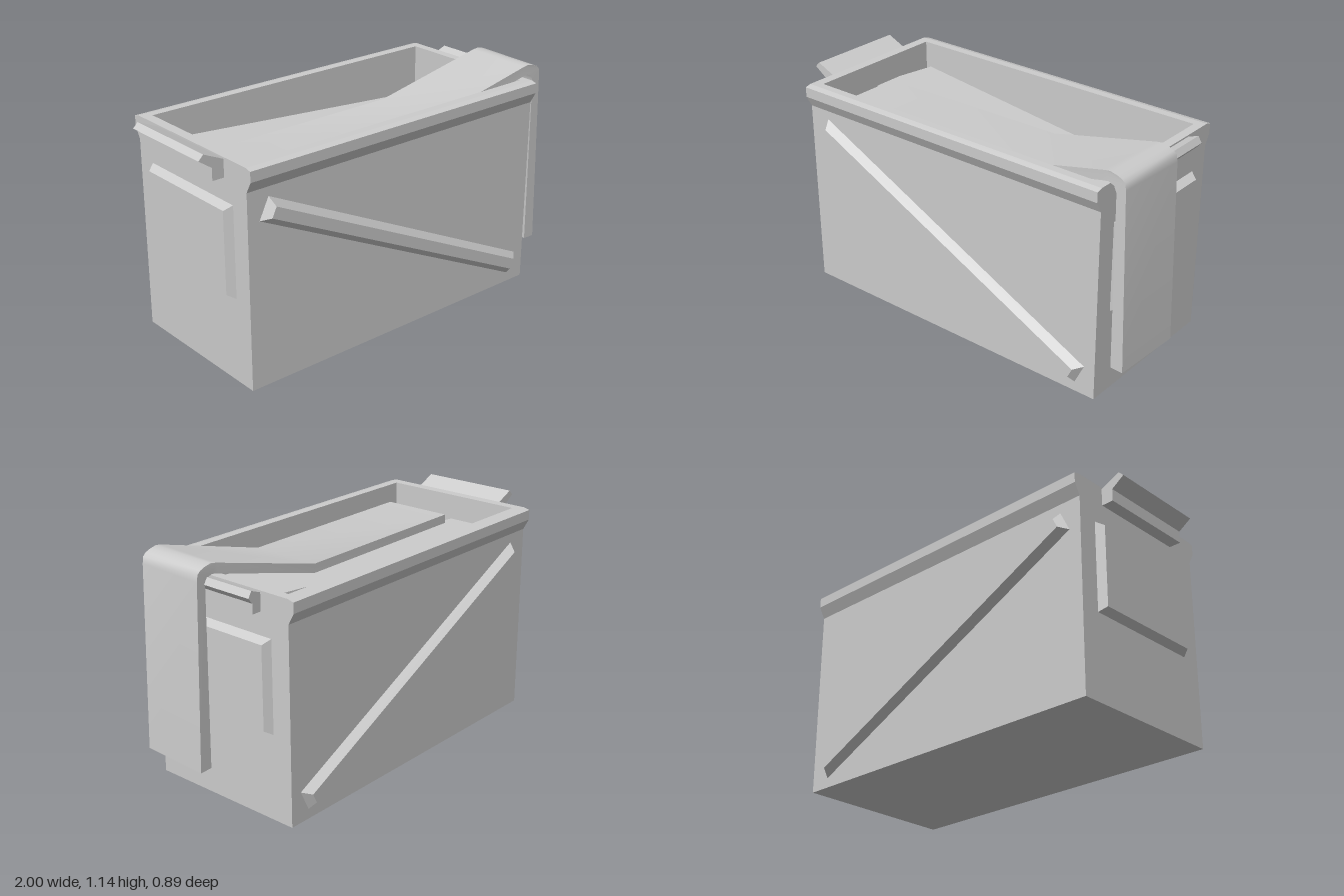
import * as THREE from 'three';
import { toCreasedNormals } from 'three/addons/utils/BufferGeometryUtils.js';

const flat = new THREE.MeshStandardMaterial({ color: 0xcccccc, flatShading: true });
const smooth = new THREE.MeshStandardMaterial({ color: 0xcccccc });

const X0 = -0.875, X1 = 0.86, HALF_Z = 0.41, TOP = 1.068;

function part(name, geometry, material = flat) {
  const mesh = new THREE.Mesh(geometry, material);
  mesh.name = name;
  return mesh;
}

// Box given by its minimum and maximum corners
function block(name, a, b) {
  const g = new THREE.BoxGeometry(b[0] - a[0], b[1] - a[1], b[2] - a[2]);
  g.translate((a[0] + b[0]) / 2, (a[1] + b[1]) / 2, (a[2] + b[2]) / 2);
  return part(name, g);
}

function extrude(points, depth) {
  const shape = new THREE.Shape(points.map(p => new THREE.Vector2(...p)));
  return new THREE.ExtrudeGeometry(shape, { depth, bevelEnabled: false });
}

// Raised panel: base on z = 0, outer face drawn in by inset
function raisedPanel(name, w, h, d, inset) {
  const g = new THREE.BoxGeometry(w, h, d).translate(0, 0, d / 2);
  const p = g.attributes.position;
  for (let i = 0; i < p.count; i++) {
    if (p.getZ(i) < d / 2) continue;
    p.setX(i, p.getX(i) - Math.sign(p.getX(i)) * inset);
    p.setY(i, p.getY(i) - Math.sign(p.getY(i)) * inset);
  }
  g.computeVertexNormals();
  return part(name, g);
}

function createBox() {
  const box = new THREE.Group();
  box.name = 'box';
  // Long walls with the flared rim in their section
  const wall = [[0.37, 0], [HALF_Z, 0], [HALF_Z, 0.955], [0.44, 1.01],
    [0.44, 1.06], [0.41, TOP], [0.37, TOP]];
  for (const s of [1, -1]) {
    const g = extrude(wall.map(([z, y]) => [-s * z, y]), X1 - X0);
    g.rotateY(Math.PI / 2).translate(X0, 0, 0);
    box.add(part(s > 0 ? 'frontWall' : 'backWall', g));
  }
  // End walls and floor
  box.add(block('rightWall', [X0, 0, -0.37], [-0.825, TOP, 0.37]));
  box.add(block('leftWall', [0.815, 0, -0.37], [X1, TOP, 0.37]));
  box.add(block('floor', [-0.825, 0, -0.37], [0.815, 0.05, 0.37]));
  return box;
}

// Strap lying in the box, rising over the end wall and hanging outside
function createStrap() {
  const width = 0.363;
  const g = extrude([
    [-0.74, 0.94], [0.28, 0.94], [0.84, 1.08], [0.875, 1.087], [0.903, 1.075], [0.916, 1.045],
    [0.927, 0.18], [0.99, 0.178], [0.962, 1.07], [0.957, 1.103], [0.94, 1.118],
    [0.915, 1.128], [0.88, 1.136], [0.85, 1.131], [0.28, 0.985], [-0.74, 0.985]
  ], width);
  const p = g.attributes.position;
  // Slight sideways drift along the strap and a small twist of the hanging end
  for (let i = 0; i < p.count; i++) {
    const x = p.getX(i), z = p.getZ(i) - width / 2;
    const centre = x < 0.28
      ? THREE.MathUtils.mapLinear(x, -0.74, 0.28, 0.163, 0.15)
      : THREE.MathUtils.mapLinear(Math.min(x, 0.88), 0.28, 0.88, 0.15, 0.192);
    p.setZ(i, z + centre);
    if (x > 0.8) p.setX(i, x - z * 0.045);
  }
  return part('strap', toCreasedNormals(g, 0.7), smooth);
}

export function createModel() {
  const model = new THREE.Group();
  model.name = 'openBox';
  model.add(createBox());

  // Diagonal ribs on both long sides
  for (const s of [1, -1]) {
    const rib = raisedPanel(s > 0 ? 'frontRib' : 'backRib', 1.74, 0.114, 0.037, 0.03);
    rib.rotation.z = -s * 0.452;
    rib.position.set(-0.005, 0.48, 0);
    const side = new THREE.Group();
    side.name = rib.name + 'Side';
    if (s < 0) {
      side.rotation.y = Math.PI;
      rib.position.x = 0.005;
    }
    rib.position.z = HALF_Z;
    side.add(rib);
    model.add(side);
  }

  // Raised panels on both ends
  for (const s of [1, -1]) {
    const panel = raisedPanel(s > 0 ? 'leftPanel' : 'rightPanel', 0.62, 0.446, 0.037, 0.023);
    panel.rotation.y = s * Math.PI / 2;
    panel.position.set(s > 0 ? X1 : X0, 0.643, 0);
    model.add(panel);
  }

  // Catches at the top of each end
  const hook = extrude([[-0.875, 0.975], [-0.875, 1.06], [-0.975, 1.105], [-1, 1.08],
    [-0.935, 1.035], [-0.935, 0.975]], 0.505).translate(0, 0, -0.2525);
  const lip = extrude([[0.86, 0.975], [0.908, 0.975], [0.908, 1.023], [0.93, 1.05],
    [0.912, 1.08], [0.86, 1.06]], 0.505).translate(0, 0, -0.2525);
  model.add(part('rightCatch', hook), part('leftCatch', lip));

  // Folded layer under the strap, lying askew, then the strap itself
  const layer = part('lowerStrapLayer', new THREE.BoxGeometry(1.66, 0.045, 0.365));
  layer.rotation.y = -0.186;
  layer.position.set(-0.006, 0.9175, -0.028);
  model.add(layer, createStrap());
  return model;
}
